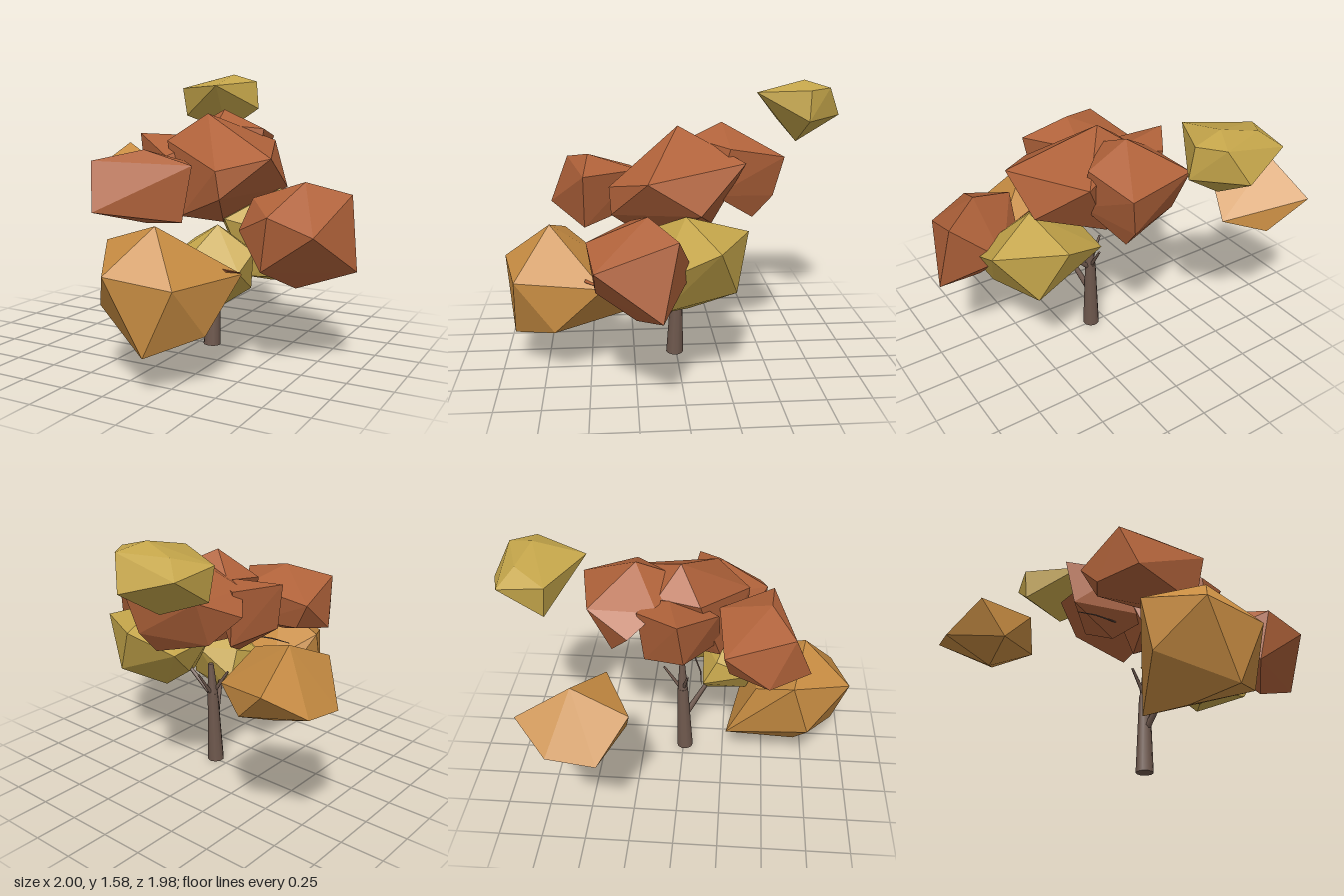
import * as THREE from 'three';
import { ConvexGeometry } from 'three/addons/geometries/ConvexGeometry.js';

const paint = (name, color) => {
  const m = new THREE.MeshStandardMaterial({ color });
  m.name = name;
  return m;
};

export function createModel() {
  const rust = paint('rustLeaves', 0xb0623a);
  const amber = paint('amberLeaves', 0xc78c42);
  const gold = paint('goldLeaves', 0xc4a54a);
  const bark = paint('bark', 0x6e584d);
  const tree = new THREE.Group();
  tree.name = 'autumnTree';

  // Faceted leaf clump spanned by a few corner points
  const clump = (name, material, ...corners) => {
    const geo = new ConvexGeometry(corners.map((c) => new THREE.Vector3(...c)));
    const mesh = new THREE.Mesh(geo, material);
    mesh.name = name;
    tree.add(mesh);
  };

  // Tapered limb between two points
  const limb = (name, from, to, r0, r1, sides = 6) => {
    const a = new THREE.Vector3(...from);
    const dir = new THREE.Vector3(...to).sub(a);
    const mesh = new THREE.Mesh(new THREE.CylinderGeometry(r1, r0, dir.length(), sides), bark);
    mesh.name = name;
    mesh.position.copy(a).addScaledVector(dir, 0.5);
    mesh.quaternion.setFromUnitVectors(new THREE.Vector3(0, 1, 0), dir.normalize());
    tree.add(mesh);
  };

  // Detached clumps behind
  clump('highBackClump', gold,
    [-0.16, 1.58, -0.77], [-0.36, 1.54, -0.82], [-0.09, 1.54, -0.91], [0, 1.535, -0.78],
    [-0.48, 1.49, -0.65], [-0.15, 1.51, -0.49], [0.02, 1.36, -0.77], [-0.18, 1.37, -0.99],
    [-0.46, 1.46, -0.9], [-0.46, 1.31, -0.67], [-0.2, 1.21, -0.74]);
  clump('rightBackClump', amber,
    [-0.8, 1.13, -0.49], [-0.5, 1.01, -0.36], [-0.43, 0.85, -0.55], [-0.85, 0.97, -0.77],
    [-1, 0.84, -0.6], [-1, 0.8, -0.35], [-0.84, 1.0, -0.2], [-0.68, 0.8, -0.24],
    [-0.71, 0.7, -0.47], [-0.65, 0.78, -0.68]);

  // Main crown
  clump('crownMiddle', rust,
    [0.05, 1.355, -0.01], [0.53, 1.13, 0.18], [0.51, 0.95, -0.1], [0.32, 1.19, -0.36],
    [0.3, 1.07, 0.38], [0.32, 0.92, 0.37], [-0.15, 1.2, 0.11], [-0.12, 1.23, -0.13],
    [0.25, 0.77, 0.18], [0, 0.79, 0.22], [0.11, 0.8, -0.2]);
  clump('crownBack', rust,
    [0.03, 1.37, -0.26], [0.21, 1.2, -0.59], [-0.22, 1.21, -0.5], [0.28, 1.26, -0.28],
    [-0.34, 1.1, -0.27], [-0.22, 1.2, -0.12], [0.14, 0.84, -0.43], [0.27, 1, -0.2],
    [-0.2, 0.94, -0.38], [0.16, 0.97, -0.54], [0.07, 1.29, -0.08]);
  clump('crownRight', rust,
    [-0.4, 1.23, 0], [-0.24, 1.21, -0.23], [-0.1, 1.12, 0.21], [0.03, 1.22, -0.1],
    [-0.35, 0.96, 0.03], [-0.1, 0.78, 0], [0.05, 0.85, 0.22], [-0.2, 0.88, -0.2]);
  clump('crownFront', rust,
    [-0.39, 1.04, 0.25], [-0.31, 1.12, 0.63], [-0.06, 1.18, 0.5], [0.24, 1.11, 0.52],
    [0.18, 0.81, 0.52], [-0.24, 0.86, 0.73], [-0.38, 0.84, 0.5], [-0.08, 0.78, 0.46],
    [0.02, 1.1, 0.21], [-0.02, 0.87, 0.25], [-0.3, 0.88, 0.28]);

  // Left side clumps
  clump('leftClump', rust,
    [0.73, 1.02, 0.19], [0.94, 0.95, 0.05], [0.47, 0.93, 0.27], [0.65, 0.87, 0.5],
    [0.88, 0.78, 0.46], [1, 0.56, 0.13], [0.71, 0.465, 0.25], [0.68, 0.72, -0.04],
    [0.44, 0.77, 0.38], [0.6, 0.58, 0.46], [0.5, 0.7, 0.12]);
  clump('leftBackClump', gold,
    [0.5, 0.95, -0.02], [0.45, 0.85, -0.36], [0.81, 0.84, -0.17], [0.79, 0.69, 0.16],
    [0.18, 0.74, -0.25], [0.17, 0.77, 0.05], [0.29, 0.8, 0.25], [0.6, 0.56, -0.28],
    [0.45, 0.42, -0.04], [0.68, 0.49, 0.12], [0.24, 0.57, -0.06], [0.4, 0.48, 0.17]);

  // Low front clumps
  clump('innerLowClump', gold,
    [0.26, 0.77, 0.27], [0.48, 0.64, 0.28], [0.46, 0.55, 0.42], [0.2, 0.63, 0.46],
    [0.05, 0.6, 0.41], [0.14, 0.45, 0.38], [0.3, 0.33, 0.29], [0.44, 0.43, 0.22],
    [0.06, 0.52, 0.12], [0.15, 0.43, 0.15], [0.08, 0.67, 0.2], [0.33, 0.66, 0.11]);
  clump('frontLowClump', amber,
    [0.14, 0.82, 0.72], [0, 0.6, 0.99], [-0.2, 0.71, 0.65], [-0.18, 0.38, 0.75],
    [0.03, 0.15, 0.69], [0.19, 0.2, 0.93], [0.41, 0.28, 0.69], [0.35, 0.55, 0.91],
    [0.48, 0.55, 0.42], [-0.03, 0.225, 0.27], [-0.04, 0.58, 0.44]);
  clump('frontLowPatch', rust,
    [0.22, 0.62, 0.49], [0.48, 0.56, 0.43], [0.45, 0.585, 0.52], [0.32, 0.5, 0.46]);

  // Trunk, forks and twigs
  limb('trunk', [0.09, 0, 0.01], [0.1, 0.45, -0.005], 0.05, 0.032, 10);
  limb('upperTrunk', [0.1, 0.44, -0.005], [0.11, 0.64, -0.01], 0.032, 0.016, 8);
  limb('frontBranch', [0.095, 0.24, 0.01], [0.17, 0.46, 0.15], 0.02, 0.013);
  limb('leftBranch', [0.1, 0.42, 0], [0.32, 0.64, -0.04], 0.017, 0.009);
  limb('rightBranch', [0.1, 0.45, 0], [0.01, 0.6, 0.03], 0.013, 0.007);
  limb('backBranch', [0.1, 0.44, -0.01], [0.11, 0.6, -0.12], 0.013, 0.007);
  limb('rightTwig', [-0.05, 0.85, 0.06], [-0.25, 0.85, 0.12], 0.005, 0.004);
  limb('rightTwigTip', [-0.25, 0.85, 0.12], [-0.36, 0.845, 0.13], 0.004, 0.002);
  return tree;
}
